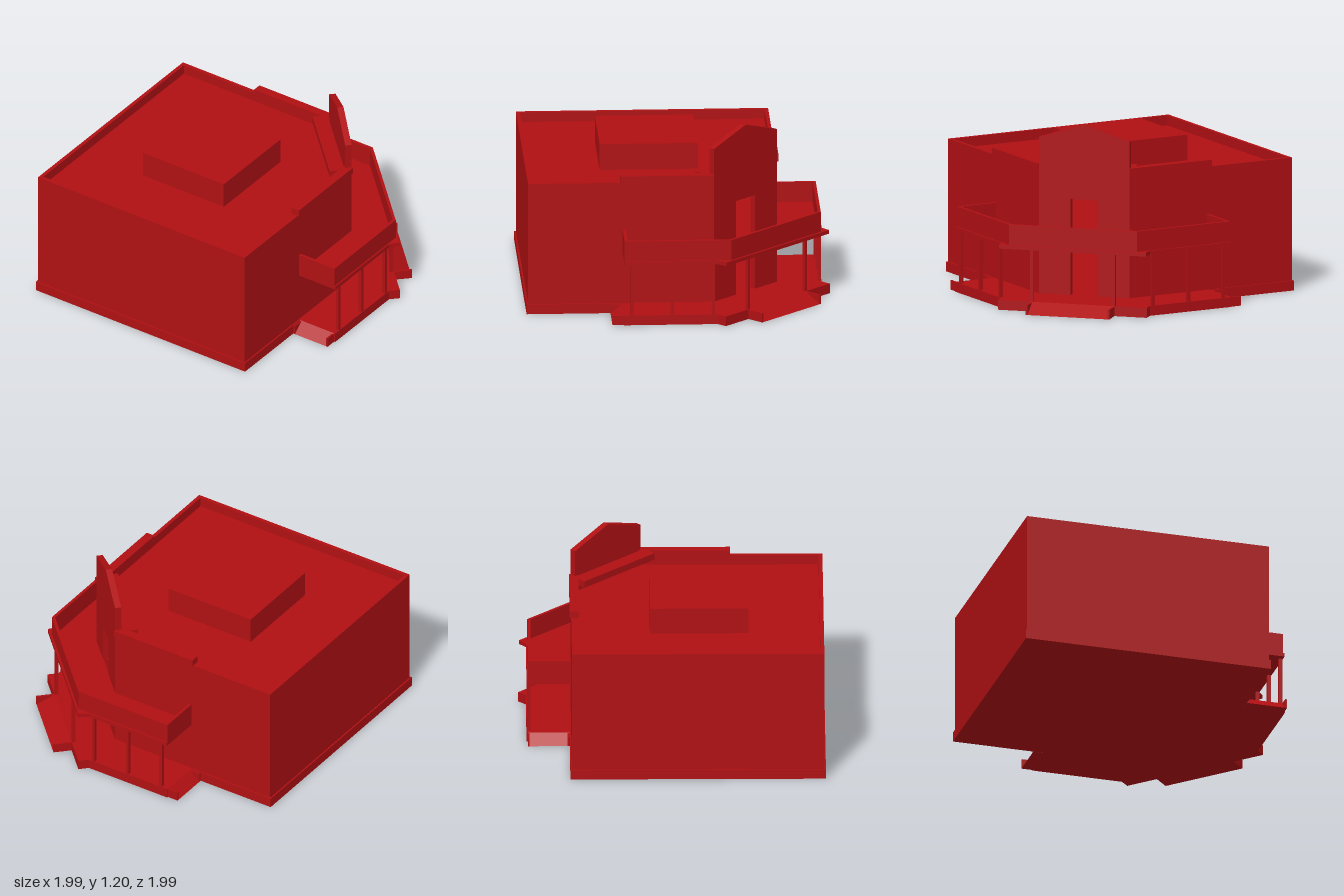
import * as THREE from 'three';

const RED = new THREE.MeshStandardMaterial({ color: 0xb01013 });
const BASE = 0.065, DECK = 0.405, DECK_TOP = 0.43, WALL_TOP = 0.88;
const S2 = Math.SQRT2;

export function createModel() {
  const model = new THREE.Group();
  model.name = 'cornerBuilding';

  const add = (parent, name, geometry, x = 0, y = 0, z = 0) => {
    const mesh = new THREE.Mesh(geometry, RED);
    mesh.name = name;
    mesh.position.set(x, y, z);
    parent.add(mesh);
    return mesh;
  };
  const box = (parent, name, x0, x1, y0, y1, z0, z1) =>
    add(parent, name, new THREE.BoxGeometry(x1 - x0, y1 - y0, z1 - z0),
      (x0 + x1) / 2, (y0 + y1) / 2, (z0 + z1) / 2);
  // Plan outline given as [x, z] corners, raised from y0 to y1
  const plan = (name, points, y0, y1) => {
    const shape = new THREE.Shape(points.map(([x, z]) => new THREE.Vector2(x, -z)));
    const geometry = new THREE.ExtrudeGeometry(shape, { depth: y1 - y0, bevelEnabled: false });
    return add(model, name, geometry.rotateX(-Math.PI / 2), 0, y0, 0);
  };
  // The plan is symmetric about x = z: complete a half outline by swapping x and z
  const mirrored = half => [...half, ...half.map(([x, z]) => [z, x]).reverse()];

  // Foundation with porch floor
  plan('foundation', [[-1, -1], ...mirrored([
    [0.66, -1], [0.66, -0.38], [0.94, -0.38], [0.94, 0.23], [0.99, 0.28],
  ]), [-1, 0.66]].filter((p, i, a) => i === 0 || p[0] !== a[i - 1][0] || p[1] !== a[i - 1][1]), 0, BASE);

  // Outer walls, open at the cut corner; they rise past the roof as a parapet
  plan('outerWalls', [
    [0.65, 0.22], [0.65, -0.99], [-0.99, -0.99], [-0.99, 0.65], [0.22, 0.65],
    [0.22, 0.625], [-0.965, 0.625], [-0.965, -0.965], [0.625, -0.965], [0.625, 0.22],
  ], BASE, WALL_TOP);

  // Upper floor and roof
  const inside = [[-0.97, -0.97], [0.63, -0.97], [0.63, 0.2], [0.2, 0.63], [-0.97, 0.63]];
  plan('upperFloor', inside, DECK, DECK_TOP);
  plan('roof', inside, 0.795, 0.815);
  box(model, 'roofHouse', -0.5, 0.14, 0.81, 0.99, -0.5, 0.14);

  // Raised copings beside the entrance tower
  box(model, 'frontCoping', -0.39, 0.22, WALL_TOP, 0.925, 0.6, 0.66);
  box(model, 'sideCoping', 0.6, 0.66, WALL_TOP, 0.925, -0.39, 0.22);

  // Parts facing the cut corner: local +z points out along the diagonal
  const corner = new THREE.Group();
  corner.name = 'cornerEntrance';
  corner.rotation.y = Math.PI / 4;
  model.add(corner);
  box(corner, 'cornerCoping', -0.325, 0.325, WALL_TOP, 0.925, 0.66 / S2, 0.8 / S2);

  // Gabled tower wall with one tall doorway
  const h = 0.304, d = 0.092;
  const gable = new THREE.Shape([
    [-h, BASE], [-d, BASE], [-d, 0.7], [d, 0.7], [d, BASE],
    [h, BASE], [h, 1.1], [0, 1.197], [-h, 1.1],
  ].map(p => new THREE.Vector2(...p)));
  add(corner, 'towerWall',
    new THREE.ExtrudeGeometry(gable, { depth: 0.042, bevelEnabled: false }), 0, 0, 0.573);

  // Balcony deck wrapping the corner
  plan('balconyDeck', mirrored([
    [0.22, 0.645], [-0.375, 0.645], [-0.375, 0.94], [0.23, 0.94], [0.285, 0.985],
  ]), DECK, DECK_TOP);

  // Balcony parapet
  plan('balconyParapet', [
    ...mirrored([[-0.375, 0.65], [-0.375, 0.93], [0.32, 0.93]]),
    ...mirrored([[0.65, -0.355], [0.91, -0.355], [0.91, 0.312]]),
  ], DECK_TOP, 0.565);

  // Porch columns along both sides and the diagonal
  const column = new THREE.BoxGeometry(0.022, DECK - BASE, 0.022);
  const midY = (DECK + BASE) / 2;
  for (const t of [-0.325, -0.065, 0.2]) {
    add(model, 'frontColumn', column, t, midY, 0.925);
    add(model, 'sideColumn', column, 0.925, midY, t);
  }
  for (const s of [-1, 1]) add(corner, 'cornerColumn', column, s * 0.276, midY, 1.25 / S2);

  // Ramps with a low cheek wall on each side; local +z runs downhill
  const ramp = (name, width, depth, x, z, angle) => {
    const group = new THREE.Group();
    group.name = name;
    group.position.set(x, 0, z);
    group.rotation.y = angle;
    const wedge = new THREE.Shape([
      new THREE.Vector2(0, 0), new THREE.Vector2(depth, 0), new THREE.Vector2(0, BASE),
    ]);
    const geometry = new THREE.ExtrudeGeometry(wedge, { depth: width, bevelEnabled: false });
    add(group, 'slope', geometry.rotateY(-Math.PI / 2), width / 2, 0, 0);
    for (const s of [-1, 1]) {
      const c = s * (width / 2 - 0.006);
      box(group, 'cheek', c - 0.006, c + 0.006, 0, BASE - 0.003, 0, depth);
    }
    model.add(group);
  };
  ramp('mainRamp', 0.566, 0.12, 0.635, 0.635, Math.PI / 4);
  ramp('frontEndRamp', 0.27, 0.075, -0.38, 0.797, -Math.PI / 2);
  ramp('sideEndRamp', 0.27, 0.075, 0.797, -0.38, Math.PI);

  return model;
}
